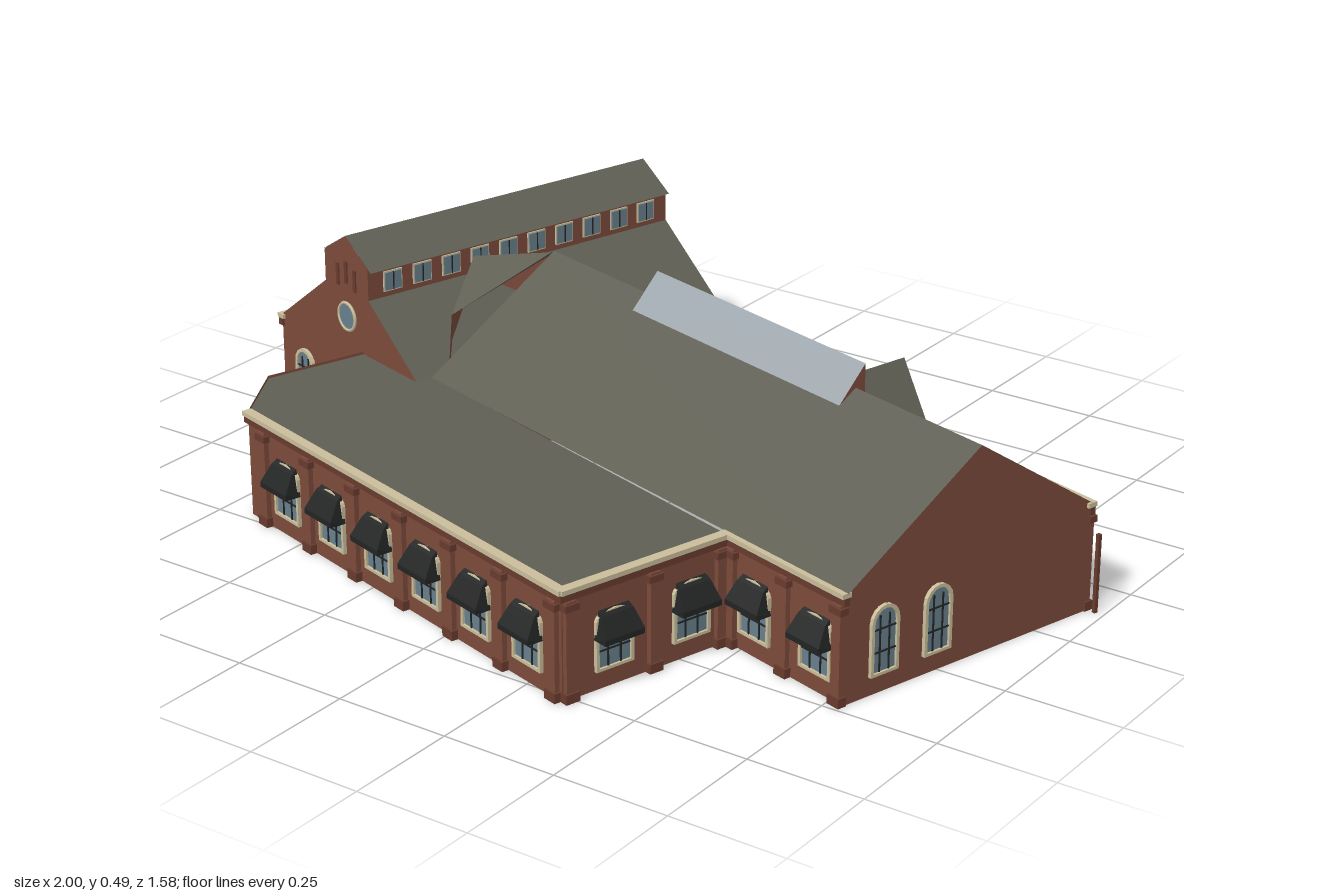
import * as THREE from 'three';

const mat = (color, side = THREE.FrontSide) => new THREE.MeshStandardMaterial({ color, side });
const brick = mat(0x7d4b3b, THREE.DoubleSide);
const roof = mat(0x5f5f54, THREE.DoubleSide);
const skyGlass = mat(0x9ea7ad, THREE.DoubleSide);
const darkGlass = mat(0x3f525c, THREE.DoubleSide);
const glass = mat(0x68818e), cream = mat(0xcbbf9c), dark = mat(0x232424), trim = mat(0x693c2f);

function mesh(parent, name, geometry, material) {
  const m = new THREE.Mesh(geometry, material);
  m.name = name;
  parent.add(m);
  return m;
}

function box(parent, name, w, h, d, x, y, z, material) {
  const m = mesh(parent, name, new THREE.BoxGeometry(w, h, d), material);
  m.position.set(x, y, z);
  return m;
}

// Flat convex face from corners [x, y, z]
function face(parent, name, pts, material) {
  const pos = [];
  for (let i = 1; i < pts.length - 1; i++) pos.push(...pts[0], ...pts[i], ...pts[i + 1]);
  const g = new THREE.BufferGeometry();
  g.setAttribute('position', new THREE.Float32BufferAttribute(pos, 3));
  g.computeVertexNormals();
  return mesh(parent, name, g, material);
}

// Upright wall panels under a chain of top points, down to y0
function walls(parent, name, tops, y0) {
  for (let i = 0; i < tops.length - 1; i++) {
    const a = tops[i], b = tops[i + 1];
    face(parent, name, [[a[0], y0, a[2]], [b[0], y0, b[2]], b, a], brick);
  }
}

// Cream cornice over a darker brick band, along a wall top
function cornice(parent, pts, y) {
  for (let i = 0; i < pts.length - 1; i++) {
    const [a, b] = [pts[i], pts[i + 1]];
    const dx = b[0] - a[0], dz = b[1] - a[1], len = Math.hypot(dx, dz);
    for (const [name, h, d, dy, m] of [['cornice', 0.01, 0.022, 0, cream], ['brickBand', 0.016, 0.014, -0.013, trim]]) {
      const c = box(parent, name, len + 0.012, h, d, (a[0] + b[0]) / 2, y + dy, (a[1] + b[1]) / 2, m);
      c.rotation.y = -Math.atan2(dz, dx);
    }
  }
}

// Group standing on a wall, its +z pointing outwards
function onWall(parent, name, x, z, turn) {
  const g = new THREE.Group();
  g.name = name;
  g.position.set(x, 0, z);
  g.rotation.y = turn;
  parent.add(g);
  return g;
}

function archShape(S, w, y0, y1, rise) {
  const s = new S();
  s.moveTo(-w / 2, y0);
  s.lineTo(w / 2, y0);
  s.lineTo(w / 2, y1 - rise);
  for (let i = 1; i <= 8; i++) {
    const t = i * Math.PI / 8;
    s.lineTo(Math.cos(t) * w / 2, y1 - rise + Math.sin(t) * rise);
  }
  return s;
}

// Arched window: frame, pane and glazing bars
function archedWindow(parent, x, z, turn, w, y0, y1, rise) {
  const g = onWall(parent, 'window', x, z, turn);
  const frame = archShape(THREE.Shape, w, y0, y1, rise);
  frame.holes.push(archShape(THREE.Path, w - 0.014, y0 + 0.006, y1 - 0.007, rise - 0.003));
  mesh(g, 'windowFrame', new THREE.ExtrudeGeometry(frame, { depth: 0.008, bevelEnabled: false }), cream);
  const pane = mesh(g, 'windowPane', new THREE.ShapeGeometry(archShape(THREE.Shape, w - 0.012, y0, y1 - 0.006, rise)), glass);
  pane.position.z = 0.003;
  for (const s of [-1, 1]) box(g, 'glazingBar', 0.003, y1 - y0 - rise * 0.6, 0.003, s * w / 6, (y0 + y1 - rise * 0.6) / 2, 0.004, dark);
  for (const t of [0.33, 0.66]) box(g, 'glazingBar', w - 0.01, 0.003, 0.003, 0, y0 + (y1 - y0) * t, 0.004, dark);
  return g;
}

// Sloping awning, narrower at the top
function awning(parent, w, y, h, depth) {
  const s = new THREE.Shape([[0, 0], [depth, 0], [depth, h * 0.2], [depth * 0.35, h * 0.85], [0, h]].map(p => new THREE.Vector2(...p)));
  const g = new THREE.ExtrudeGeometry(s, { depth: w, bevelEnabled: false });
  g.translate(0, 0, -w / 2);
  g.rotateY(-Math.PI / 2);
  const p = g.attributes.position;
  for (let i = 0; i < p.count; i++) p.setX(i, p.getX(i) * (1 - 0.3 * Math.max(0, p.getY(i) / h - 0.2)));
  g.computeVertexNormals();
  mesh(parent, 'awning', g, dark).position.set(0, y, 0.002);
}

function awningWindow(parent, x, z, turn) {
  awning(archedWindow(parent, x, z, turn, 0.09, 0.04, 0.165, 0.02), 0.094, 0.108, 0.058, 0.036);
}

function pilaster(parent, x, z, turn) {
  const g = onWall(parent, 'pilaster', x, z, turn);
  box(g, 'pilasterShaft', 0.024, 0.21, 0.014, 0, 0.105, 0.004, brick);
  box(g, 'pilasterCapital', 0.034, 0.014, 0.02, 0, 0.198, 0.005, trim);
  box(g, 'pilasterBase', 0.032, 0.02, 0.02, 0, 0.01, 0.005, trim);
}

const E = Math.PI / 2, N = Math.PI, W = -Math.PI / 2;

function mainHall(parent) {
  const g = new THREE.Group();
  g.name = 'mainHall';
  parent.add(g);
  const x0 = -0.43, x1 = 0.885, zN = -0.395, zR = -0.083, zS = 0.245, e = 0.235, r = 0.445;
  // Walls and gables
  face(g, 'eastGable', [[x1, 0, zS], [x1, 0, zN], [x1, e, zN], [x1, r, zR], [x1, e, zS]], brick);
  face(g, 'westGable', [[x0, e, zN], [x0, e, zS], [x0, r, zR]], brick);
  walls(g, 'northWall', [[x0, e, zN], [x1, e, zN]], 0);
  walls(g, 'southWall', [[0.548, e, zS], [x1, e, zS]], 0);
  // Roof slopes; the north one runs on to the west with a cut corner
  const hip = [[x0, e, zN], [-0.518, 0.336, -0.246], [-0.51, 0.404, -0.145], [x0, r, zR]];
  face(g, 'northRoof', [[x1 + 0.008, r, zR], [x1 + 0.008, e, zN], ...hip], roof);
  face(g, 'southRoof', [[x0, r, zR], [x1 + 0.008, r, zR], [x1 + 0.008, e, zS], [x0, e, zS]], roof);
  walls(g, 'roofEndWall', hip.slice(0, 3), 0.22);
  // Link roof towards the west wing
  const link = [[-0.51, 0.404, -0.145], [-0.61, 0.4, 0], [-0.5, 0.33, 0.14], [x0, r, zR]];
  face(g, 'linkRoof', link, roof);
  walls(g, 'linkWall', link.slice(0, 3).concat([[x0, e, 0.2]]), 0.225);
  cornice(g, [[x0, zN], [x1, zN]], e - 0.004);
  cornice(g, [[0.56, zS], [x1, zS]], e - 0.004);
  // Windows and pilasters
  for (const x of [0.633, 0.81]) awningWindow(g, x, zS, 0);
  for (const x of [0.565, 0.72, 0.873]) pilaster(g, x, zS, 0);
  for (const z of [0.147, 0.011]) archedWindow(g, x1, z, E, 0.07, 0.04, 0.185, 0.035);
  for (const x of [-0.18, -0.02, 0.14, 0.47, 0.63, 0.79])
    for (const s of [-0.026, 0.026]) archedWindow(g, x + s, zN, N, 0.046, 0.04, 0.175, 0.023);
  for (const x of [-0.26, -0.1, 0.06, 0.22, 0.39, 0.55, 0.71, 0.873]) pilaster(g, x, zN, N);
  // Side door with awning
  const door = onWall(g, 'sideDoor', -0.36, zN, N);
  box(door, 'doorLeaf', 0.06, 0.13, 0.008, 0, 0.065, 0.002, dark);
  awning(door, 0.1, 0.085, 0.06, 0.04);
  // Gabled entrance whose roof dies into the north slope
  const p = onWall(g, 'entrance', 0.306, zN, N);
  box(p, 'entranceBlock', 0.12, 0.235, 0.028, 0, 0.1175, 0.014, brick);
  face(p, 'entranceGable', [[-0.065, 0.235, 0.03], [0.065, 0.235, 0.03], [0, 0.34, 0.03]], brick);
  for (const s of [-1, 1]) {
    face(p, 'entranceRoof', [[s * 0.07, 0.23, 0.035], [0, 0.345, 0.035], [0, 0.345, -0.163], [s * 0.07, 0.24, -0.007]], roof);
    box(p, 'entrancePier', 0.02, 0.22, 0.02, s * 0.05, 0.11, 0.03, trim);
  }
  box(p, 'entranceDoor', 0.068, 0.14, 0.006, 0, 0.07, 0.029, glass);
  box(p, 'doorPost', 0.005, 0.14, 0.008, 0, 0.07, 0.03, dark);
  box(p, 'doorHead', 0.08, 0.016, 0.02, 0, 0.148, 0.034, dark);
  box(p, 'fanlight', 0.05, 0.04, 0.006, 0, 0.185, 0.029, glass);
  // Wedge skylight on the ridge
  const a = -0.105, b = 0.54, zb = -0.107, zf = -0.04;
  face(g, 'skylightGlass', [[a, 0.417, zf], [b, 0.417, zf], [b, 0.49, zb], [a, 0.49, zb]], skyGlass);
  face(g, 'skylightBack', [[b, 0.425, zb], [a, 0.425, zb], [a, 0.49, zb], [b, 0.49, zb]], darkGlass);
  for (const x of [a, b]) face(g, 'skylightEnd', [[x, 0.417, zf], [x, 0.425, zb], [x, 0.49, zb]], brick);
  // Post beside the north-east corner
  box(g, 'cornerPost', 0.008, 0.17, 0.008, 0.905, 0.087, zN - 0.006, trim);
}

function frontWing(parent) {
  const g = new THREE.Group();
  g.name = 'frontWing';
  parent.add(g);
  const outline = [[0.548, 0.245], [0.548, 0.645], [-0.521, 0.645], [-0.654, 0.51], [-0.64, 0.276]];
  walls(g, 'wingWall', outline.map(([x, z]) => [x, 0.235, z]), 0);
  face(g, 'flatRoof', [...outline, [-0.43, 0.235]].map(([x, z]) => [x, 0.229, z]), roof);
  cornice(g, outline.slice(0, 3), 0.231);
  for (let i = 0; i < 6; i++) awningWindow(g, -0.377 + i * 0.1645, 0.645, 0);
  for (let i = 0; i < 7; i++) pilaster(g, -0.459 + i * 0.1645, 0.645, 0);
  for (const z of [0.337, 0.524]) awningWindow(g, 0.548, z, E);
  for (const z of [0.265, 0.43, 0.63]) pilaster(g, 0.548, z, E);
}

function westWing(parent) {
  const g = new THREE.Group();
  g.name = 'westWing';
  parent.add(g);
  const zN = -0.54, zS = 0.276, xW = -0.96, xE = -0.436, xm = -0.696, hw = 0.082;
  const e = 0.225, m0 = 0.36, m1 = 0.432, r = 0.485;
  // Stepped gables with round window and slits
  const profile = [[xW, 0], [xE, 0], [xE, e], [xm + hw, m0], [xm + hw, m1], [xm, r], [xm - hw, m1], [xm - hw, m0], [xW, e]];
  const shape = new THREE.Shape(profile.map(p => new THREE.Vector2(...p)));
  for (const [z, turn] of [[zS, 0], [zN, N]]) {
    mesh(g, 'gable', new THREE.ShapeGeometry(shape), brick).position.z = z;
    const o = onWall(g, 'roundWindow', xm, z, turn);
    mesh(o, 'roundPane', new THREE.CircleGeometry(0.03, 20), glass).position.set(0, 0.3, 0.003);
    mesh(o, 'roundFrame', new THREE.TorusGeometry(0.031, 0.004, 6, 20), cream).position.set(0, 0.3, 0.002);
    for (const s of [-1, 0, 1]) box(o, 'gableSlit', 0.01, 0.05, 0.004, s * 0.032, 0.39 + (s ? 0 : 0.012), 0.001, trim);
  }
  // Side walls, roofs and raised clerestory
  for (const [x, s] of [[xW, -1], [xE, 1]]) {
    const xs = xm + s * hw;
    walls(g, 'sideWall', [[x, e, zN], [x, e, zS]], 0);
    face(g, 'lowerRoof', [[x, e, zN], [x, e, zS], [xs, m0, zS], [xs, m0, zN]], roof);
    walls(g, 'clerestoryWall', [[xs, m1, zN], [xs, m1, zS]], m0);
  }
  const slope = (name, x, m, y = m1) => face(g, name, [[x, y, zN], [x, y, zS], [xm, r, zS], [xm, r, zN]], m);
  slope('clerestoryGlassRoof', xm - hw - 0.004, skyGlass);
  slope('clerestoryRoof', xm + hw + 0.012, roof, m1 - 0.006);
  for (let i = 0; i < 10; i++) {
    const z = zN + 0.06 + i * 0.077;
    for (const s of [-1, 1]) {
      const o = onWall(g, 'clerestoryWindow', xm + s * hw, z, s * E);
      box(o, 'clerestoryFrame', 0.048, 0.046, 0.004, 0, 0.395, 0.001, cream);
      box(o, 'clerestoryPane', 0.042, 0.04, 0.004, 0, 0.395, 0.003, glass);
      box(o, 'glazingBar', 0.003, 0.04, 0.004, 0, 0.395, 0.004, dark);
    }
  }
  // Windows in the long west wall and the south gable
  for (const z of [-0.45, -0.24, -0.02, 0.18]) archedWindow(g, xW, z, W, 0.07, 0.04, 0.17, 0.035);
  archedWindow(g, -0.868, zS, 0, 0.07, 0.04, 0.17, 0.035);
  cornice(g, [[xW, zN], [xW, zS]], e - 0.004);
}

export function createModel() {
  const model = new THREE.Group();
  model.name = 'brickHall';
  const plan = new THREE.Group();
  plan.name = 'building';
  plan.rotation.y = -16 * Math.PI / 180;
  model.add(plan);
  mainHall(plan);
  frontWing(plan);
  westWing(plan);
  return model;
}
